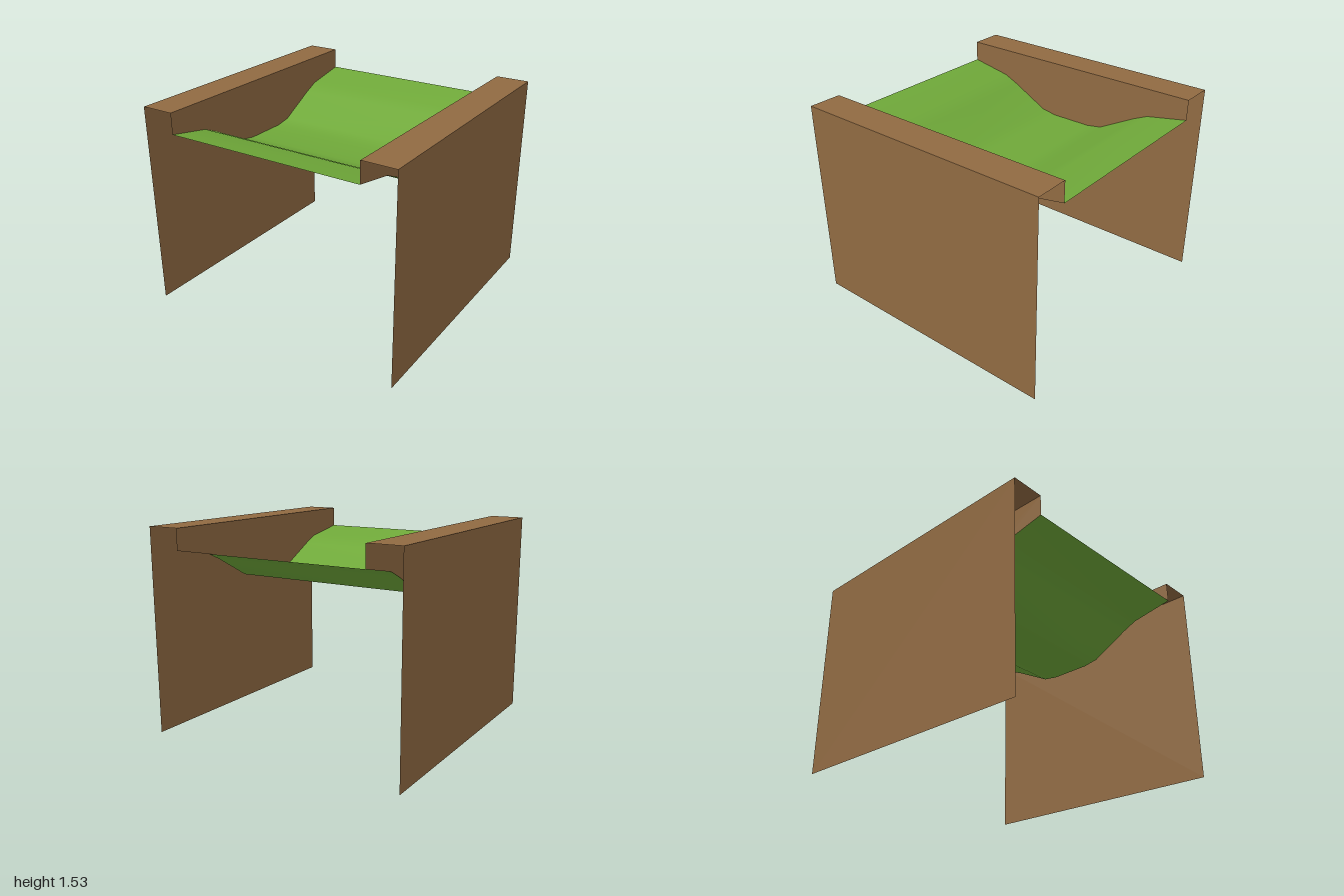
import * as THREE from 'three';

export function createModel() {
  const model = new THREE.Group();
  const wood = new THREE.MeshStandardMaterial({ color: 0x906a42, side: THREE.DoubleSide });
  wood.name = 'brown earth';
  const grass = new THREE.MeshStandardMaterial({ color: 0x6fa839, side: THREE.DoubleSide });
  grass.name = 'green grass';

  const height = 1.53, inner = 0.75;
  // Channel profile as [z, y], mirrored front to back
  const half = [[1, 1.375], [0.68, 1.315], [0.57, 1.265], [0.28, 1.11], [0.16, 1.09]];
  const profile = [...half.map(([z, y]) => [-z, y]), [0, 1.09], ...half.slice().reverse()];

  const add = (name, geometry, material, parent = model) => {
    const mesh = new THREE.Mesh(geometry, material);
    mesh.name = name;
    parent.add(mesh);
    return mesh;
  };

  // Curved channel floor: a flat sheet bent along the profile
  const floor = new THREE.PlaneGeometry(inner * 2, 2, 1, profile.length - 1).rotateX(-Math.PI / 2);
  const pos = floor.attributes.position;
  for (let i = 0; i < pos.count; i++) {
    const [z, y] = profile[Math.floor(i / 2)];
    pos.setY(i, y);
    pos.setZ(i, z);
  }
  floor.computeVertexNormals();
  add('channelFloor', floor, grass);

  // Inner wall outline, from the rim down to the channel floor
  const outline = new THREE.Shape([
    new THREE.Vector2(-1, height),
    ...profile.map(([z, y]) => new THREE.Vector2(z, y)),
    new THREE.Vector2(1, height),
  ]);

  for (const side of [-1, 1]) {
    const bank = new THREE.Group();
    bank.name = side > 0 ? 'leftBank' : 'rightBank';
    model.add(bank);

    // Outer wall, facing outwards
    const wall = add('outerWall', new THREE.PlaneGeometry(2, height), wood, bank);
    wall.rotation.y = side * Math.PI / 2;
    wall.position.set(side, height / 2, 0);

    // Flat rim on top
    const rim = add('rim', new THREE.PlaneGeometry(1 - inner, 2), wood, bank);
    rim.rotation.x = -Math.PI / 2;
    rim.position.set(side * (1 + inner) / 2, height, 0);

    // Inner wall, facing the channel (the outline is symmetric in z)
    const innerWall = add('innerWall', new THREE.ShapeGeometry(outline), wood, bank);
    innerWall.rotation.y = -side * Math.PI / 2;
    innerWall.position.x = side * inner;
  }
  return model;
}
